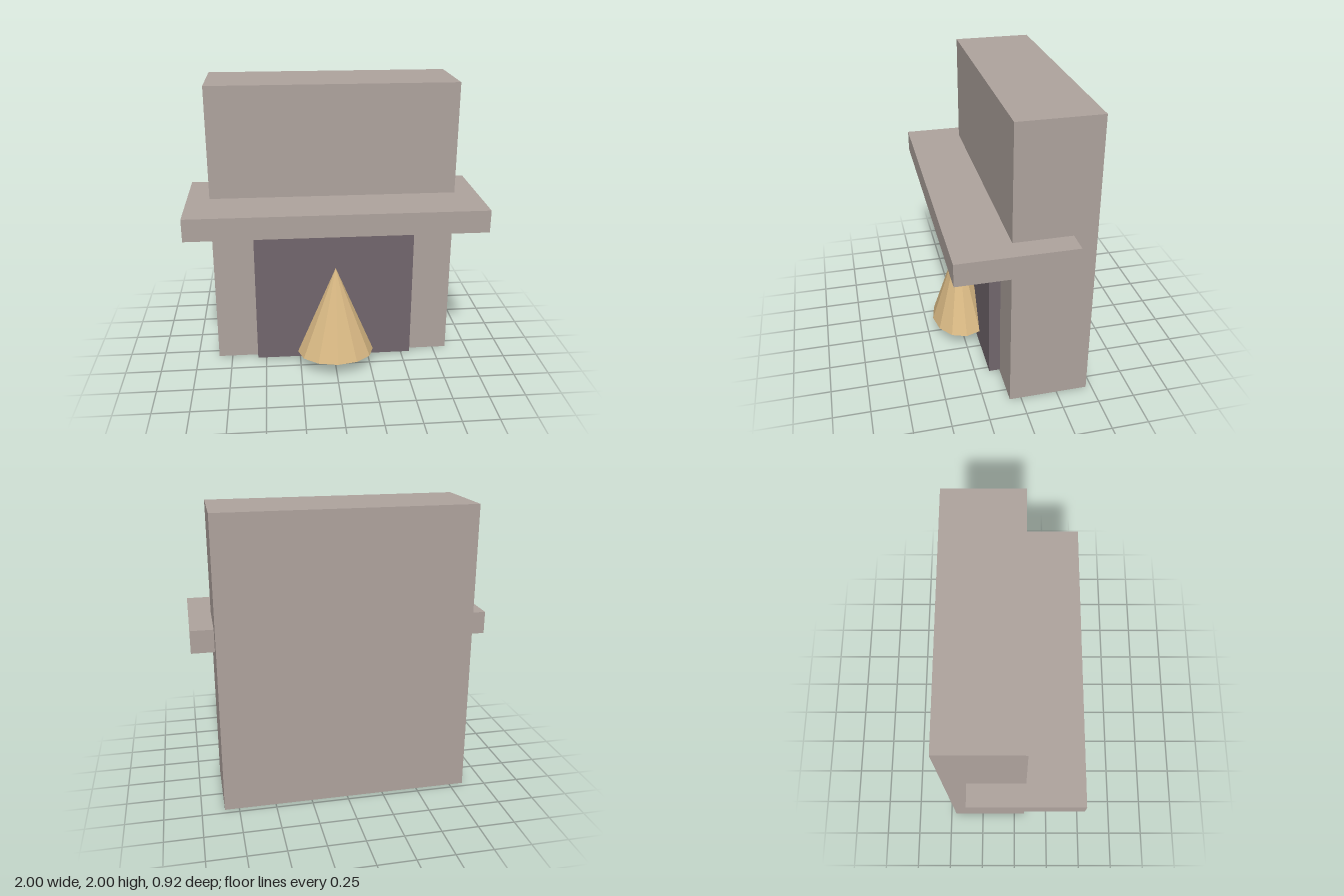
import * as THREE from 'three';

export function createModel() {
  const group = new THREE.Group();
  const material = (name, color, flatShading = false) => {
    const m = new THREE.MeshStandardMaterial({ color, flatShading });
    m.name = name;
    return m;
  };
  const stone = material('stone', 0xaea39d);
  const soot = material('soot', 0x71666c);
  const flameYellow = material('flameYellow', 0xd9b984, true);

  // Box given by its half width and its y and z ranges
  const block = (name, mat, halfWidth, y0, y1, z0, z1) => {
    const mesh = new THREE.Mesh(new THREE.BoxGeometry(halfWidth * 2, y1 - y0, z1 - z0), mat);
    mesh.position.set(0, (y0 + y1) / 2, (z0 + z1) / 2);
    mesh.name = name;
    group.add(mesh);
  };

  block('chimneyBreast', stone, 0.847, 0, 2, -0.462, 0.077);
  block('mantelShelf', stone, 1, 1.08, 1.233, -0.308, 0.462);
  block('firebox', soot, 0.56, 0.018, 0.985, 0, 0.154);

  // Twelve-sided flame, flattened front to back
  const flame = new THREE.Mesh(new THREE.ConeGeometry(0.27, 0.646, 12), flameYellow);
  flame.scale.z = 0.765;
  flame.position.set(0, 0.443, 0.255);
  flame.name = 'flame';
  group.add(flame);

  return group;
}
